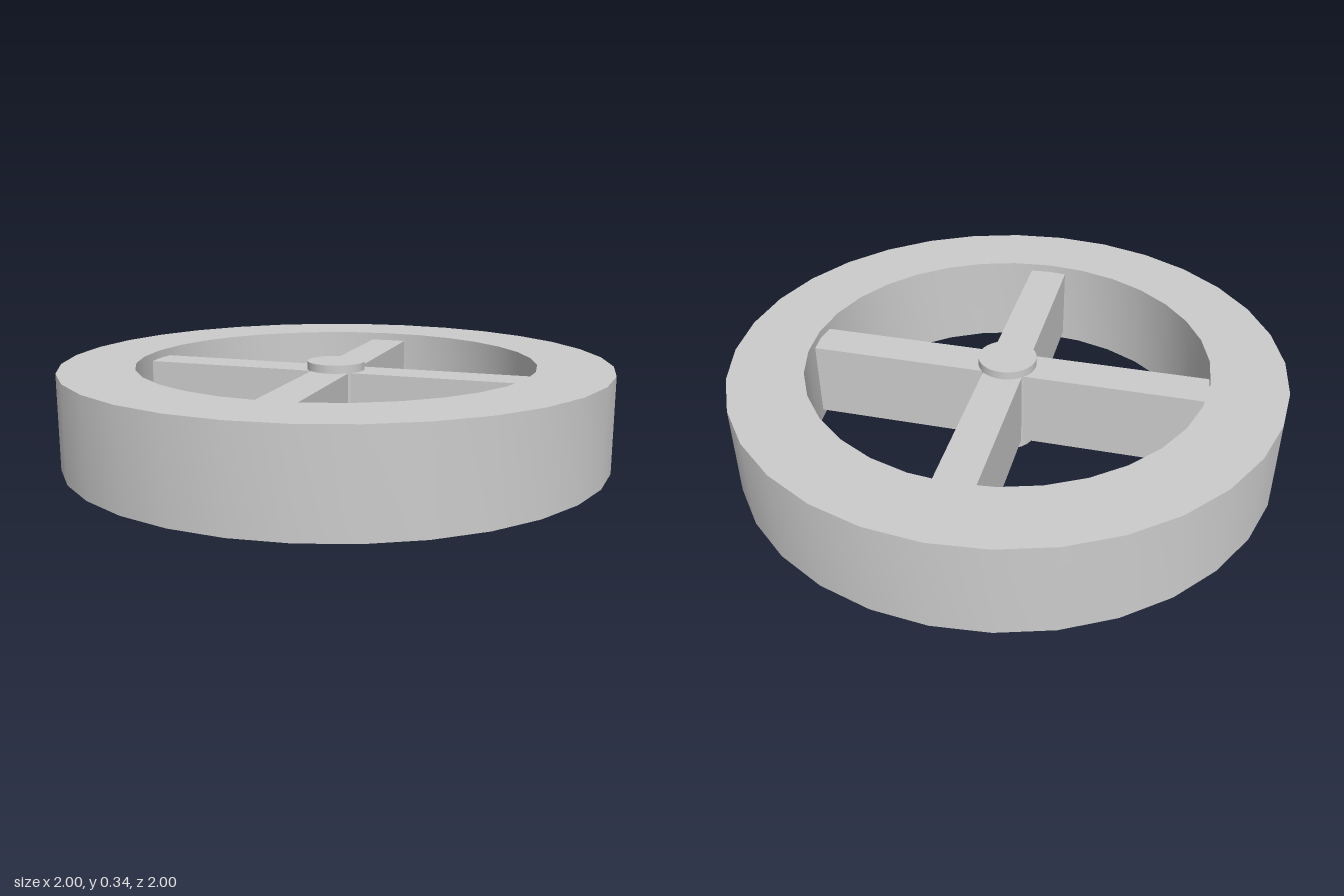
import * as THREE from 'three';
import { toCreasedNormals } from 'three/addons/utils/BufferGeometryUtils.js';

const HEIGHT = 0.343;
const OUTER = 1, INNER = 0.73;
const SPOKE_WIDTH = 0.143, SPOKE_HEIGHT = 0.283;
const HUB_RADIUS = 0.106;

export function createModel() {
  const group = new THREE.Group();
  group.name = 'spokedWheel';
  const grey = new THREE.MeshStandardMaterial({ color: 0xcccccc });
  grey.name = 'light grey';

  const add = (name, geometry) => {
    const mesh = new THREE.Mesh(geometry, grey);
    mesh.name = name;
    group.add(mesh);
    return mesh;
  };

  // Rim: a rectangular section turned about the axle, smooth around, sharp at the edges
  const section = [[INNER, 0], [OUTER, 0], [OUTER, HEIGHT], [INNER, HEIGHT], [INNER, 0]]
    .map(([r, y]) => new THREE.Vector2(r, y));
  add('rim', toCreasedNormals(new THREE.LatheGeometry(section, 32), Math.PI / 6));

  // Hub: full height, standing slightly proud of the spokes on both sides
  add('hub', new THREE.CylinderGeometry(HUB_RADIUS, HUB_RADIUS, HEIGHT, 32))
    .position.y = HEIGHT / 2;

  // Four spokes from inside the hub to the rim
  const start = 0.06;
  for (let i = 0; i < 4; i++) {
    const spoke = new THREE.BoxGeometry(INNER - start, SPOKE_HEIGHT, SPOKE_WIDTH);
    spoke.translate((INNER + start) / 2, HEIGHT / 2, 0);
    add('spoke' + (i + 1), spoke).rotation.y = i * Math.PI / 2;
  }

  return group;
}
